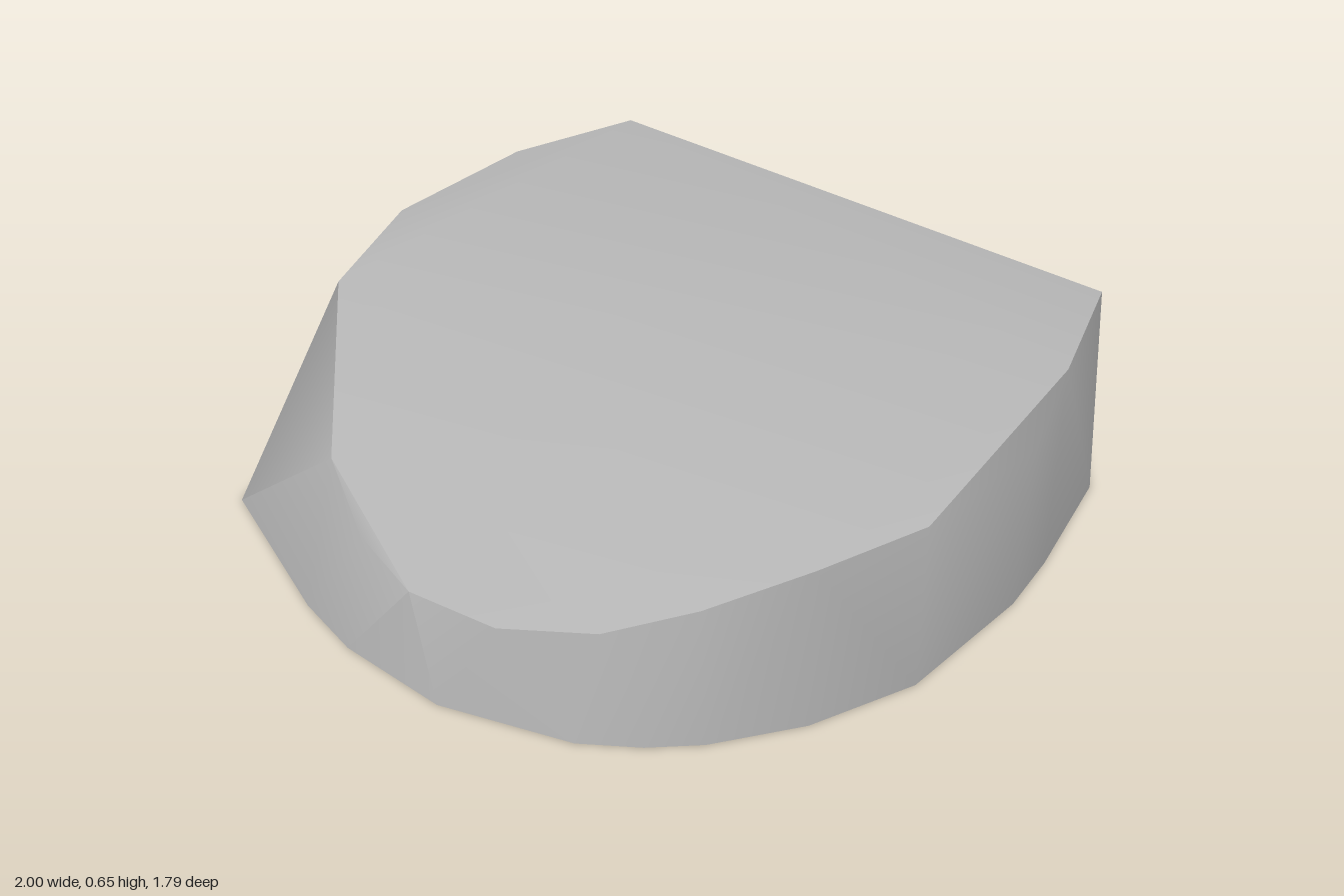
import * as THREE from 'three';
import { ConvexGeometry } from 'three/addons/geometries/ConvexGeometry.js';
import { toCreasedNormals } from 'three/addons/utils/BufferGeometryUtils.js';

// Outline of the base on the ground: x, z
const BASE = [
  [-0.79, -0.895], [-1, -0.69], [-1, 0.57], [-0.54, 0.8], [-0.34, 0.865], [-0.01, 0.895],
  [0.36, 0.8], [0.51, 0.71], [0.63, 0.61], [0.8, 0.4], [0.94, 0.11], [0.985, -0.32],
  [0.97, -0.52], [0.91, -0.895],
];

// Rim of the sloping top: x, y, z
const RIM = [
  [-0.71, 0.65, -0.895], [-0.87, 0.65, -0.55], [-0.93, 0.65, -0.1], [-0.83, 0.65, 0.28],
  [-0.55, 0.4, 0.65], [-0.35, 0.31, 0.77], [-0.14, 0.27, 0.83], [0.13, 0.275, 0.815],
  [0.39, 0.33, 0.73], [0.6, 0.42, 0.6], [0.8, 0.51, 0.4], [0.94, 0.525, 0.11],
  [0.97, 0.65, -0.52], [0.87, 0.65, -0.895],
];

// Bulges on the two side walls
const BULGES = [[-1, 0.29, -0.15], [1, 0.53, -0.32]];

export function createModel() {
  const group = new THREE.Group();
  group.name = 'rock';

  const stone = new THREE.MeshStandardMaterial({ color: 0xb4b4b4 });
  stone.name = 'grey stone';

  // One faceted block wrapped around the base, rim and bulges
  const points = [...BASE.map(([x, z]) => [x, 0, z]), ...RIM, ...BULGES]
    .map((p) => new THREE.Vector3(...p));
  const geometry = toCreasedNormals(new ConvexGeometry(points), THREE.MathUtils.degToRad(38));
  const block = new THREE.Mesh(geometry, stone);
  block.name = 'rockBlock';
  group.add(block);
  return group;
}
